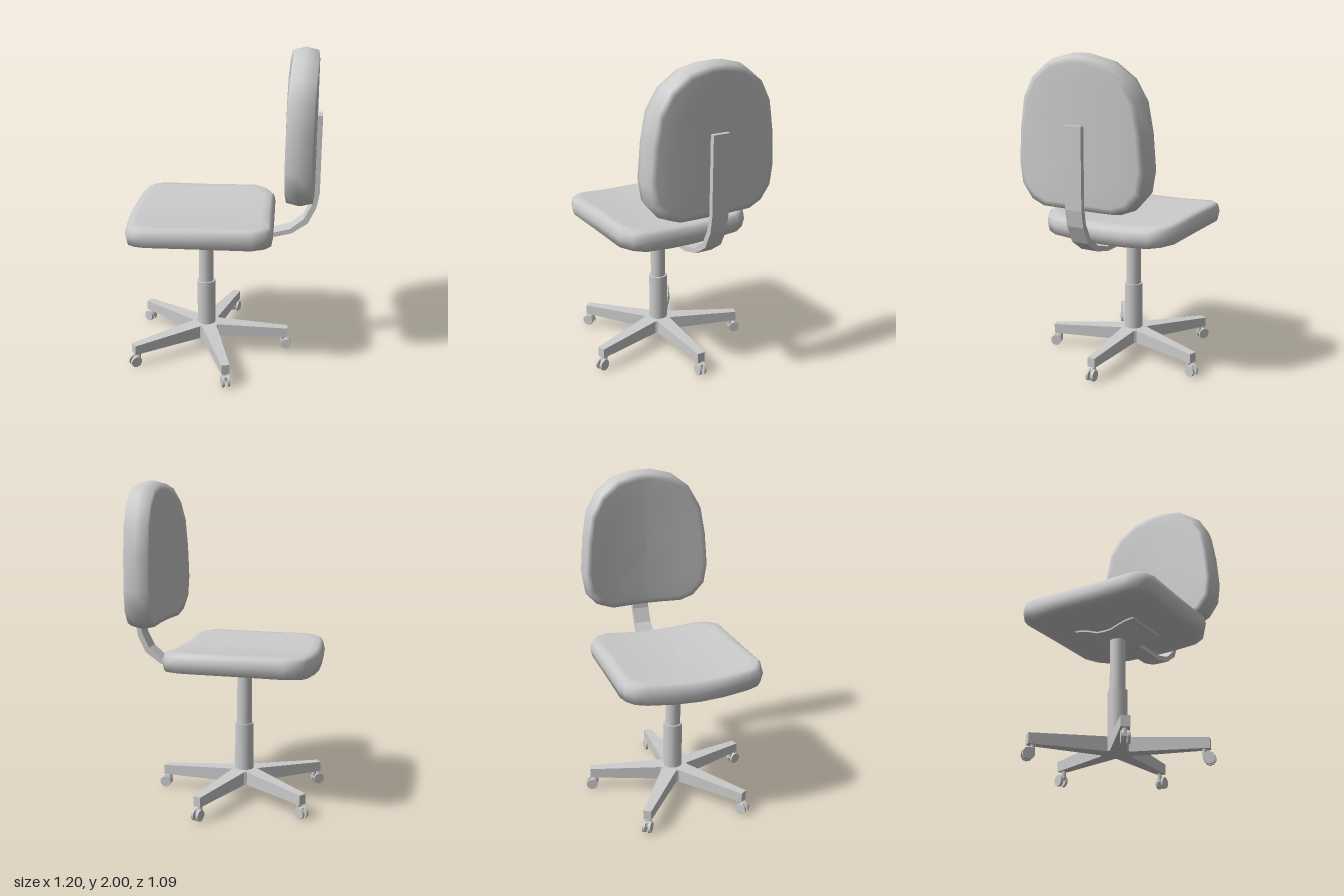
import * as THREE from 'three';

const material = new THREE.MeshStandardMaterial({ color: 0xcccccc });
const thin = new THREE.MeshStandardMaterial({ color: 0xcccccc, side: THREE.DoubleSide });
const COLUMN_X = -0.115;

function add(parent, name, geometry, mat = material) {
  const mesh = new THREE.Mesh(geometry, mat);
  mesh.name = name;
  parent.add(mesh);
  return mesh;
}

// Complete a half outline by mirroring it; the first and last points lie on the mirror line
function mirrored(half, flip) {
  return [...half, ...half.slice(1, -1).reverse().map(flip)];
}

// Padded cushion: the outline swept through rings of [inset, scale, height], then bent by place()
function cushion(outline, centre, rings, place) {
  const n = outline.length, positions = [], index = [];
  rings.forEach(([inset, scale, h], i) => {
    outline.forEach(([u, v], j) => {
      const du = u - centre[0], dv = v - centre[1];
      const k = scale * (1 - inset / Math.hypot(du, dv));
      positions.push(...place(centre[0] + du * k, centre[1] + dv * k, h));
      if (i === 0) return;
      const a = (i - 1) * n + j, b = (i - 1) * n + (j + 1) % n;
      if (i > 1) index.push(a, b, b + n);
      if (i < rings.length - 1) index.push(a, b + n, a + n);
      else index.push(a, b, a + n);
    });
  });
  const g = new THREE.BufferGeometry();
  g.setAttribute('position', new THREE.Float32BufferAttribute(positions, 3));
  g.setIndex(index);
  g.computeVertexNormals();
  return g;
}

// Side profile extruded symmetrically about z = 0
function slab(points, width) {
  const shape = new THREE.Shape(points.map(p => new THREE.Vector2(...p)));
  return new THREE.ExtrudeGeometry(shape, { depth: width, bevelEnabled: false })
    .translate(0, 0, -width / 2);
}

// Tapered leg along +x
function legGeometry() {
  const g = new THREE.BoxGeometry(1, 1, 1), p = g.attributes.position;
  for (let i = 0; i < p.count; i++) {
    const tip = p.getX(i) > 0;
    p.setXYZ(i, tip ? 0.54 : 0.05,
      p.getY(i) > 0 ? (tip ? 0.152 : 0.178) : 0.09,
      p.getZ(i) * (tip ? 0.05 : 0.1));
  }
  g.computeVertexNormals();
  return g;
}

function createCaster() {
  const caster = new THREE.Group();
  caster.name = 'caster';
  add(caster, 'casterStem', new THREE.CylinderGeometry(0.014, 0.014, 0.06, 8)).position.set(0.505, 0.075, 0);
  add(caster, 'casterHousing', new THREE.BoxGeometry(0.045, 0.03, 0.018)).position.set(0.518, 0.052, 0);
  for (const side of [-1, 1]) {
    const wheel = add(caster, 'casterWheel', new THREE.CylinderGeometry(0.036, 0.036, 0.016, 10));
    wheel.rotation.x = Math.PI / 2;
    wheel.position.set(0.532, 0.036, side * 0.017);
  }
  return caster;
}

export function createModel() {
  const chair = new THREE.Group();
  chair.name = 'officeChair';

  // Seat, dished upward at both sides
  const seatOutline = mirrored([
    [-0.6, 0], [-0.592, 0.16], [-0.575, 0.32], [-0.555, 0.39], [-0.51, 0.43], [-0.45, 0.45],
    [-0.14, 0.45], [0.2, 0.45], [0.28, 0.4], [0.32, 0.33], [0.32, 0.16], [0.32, 0]
  ], ([x, z]) => [x, -z]);
  add(chair, 'seat', cushion(seatOutline, [-0.14, 0], [
    [0, 0, 0.845], [0.03, 0.35, 0.845], [0.03, 0.7, 0.845], [0.03, 0.95, 0.845], [0.012, 1, 0.85],
    [0, 1, 0.905], [0.012, 1, 0.95], [0.035, 1, 0.97],
    [0.035, 0.9, 0.972], [0.035, 0.65, 0.972], [0.035, 0.35, 0.972], [0, 0, 0.972]
  ], (x, z, h) => [x, h + 0.033 * (z / 0.45) ** 2, z]));

  // Backrest, wrapped forward at both sides
  const backOutline = mirrored([
    [0, 2], [0.06, 1.997], [0.19, 1.965], [0.31, 1.875], [0.382, 1.75], [0.415, 1.57], [0.43, 1.35],
    [0.408, 1.22], [0.335, 1.135], [0.245, 1.1], [0.1, 1.1], [0, 1.1]
  ], ([z, y]) => [-z, y]);
  add(chair, 'backrest', cushion(backOutline, [0, 1.53], [
    [0, 0, 0.408], [0.022, 0.35, 0.408], [0.022, 0.7, 0.408], [0.022, 0.93, 0.408], [0.018, 1, 0.412],
    [0, 1, 0.485], [0.018, 1, 0.562],
    [0.022, 0.93, 0.567], [0.022, 0.7, 0.567], [0.022, 0.35, 0.567], [0, 0, 0.567]
  ], (z, y, h) => [h - 0.038 * (z / 0.43) ** 2, y, z]));

  // Bent flat bar joining the seat and the backrest
  add(chair, 'backSupport', slab([
    [-0.1, 0.815], [0.31, 0.815], [0.43, 0.845], [0.53, 0.915], [0.58, 1.02], [0.597, 1.12], [0.597, 1.605],
    [0.567, 1.605], [0.567, 1.13], [0.55, 1.035], [0.505, 0.945], [0.42, 0.875], [0.31, 0.845], [-0.1, 0.845]
  ], 0.11));

  // Winged mounting plate under the seat
  const under = [[0, 0.8], [0.05, 0.803], [0.1, 0.822], [0.15, 0.837], [0.205, 0.843]];
  const lower = [...under.slice(1).reverse().map(([z, y]) => [-z, y]), ...under];
  const upper = lower.map(([z, y]) => [z, y + 0.01]).reverse();
  const plate = add(chair, 'mountingPlate', slab([...lower, ...upper], 0.315), thin);
  plate.rotation.y = Math.PI / 2;
  plate.position.x = -0.12;

  // Column and five-legged base
  const base = new THREE.Group();
  base.name = 'base';
  base.position.x = COLUMN_X;
  chair.add(base);
  add(base, 'upperColumn', new THREE.CylinderGeometry(0.048, 0.048, 0.36, 16)).position.y = 0.63;
  add(base, 'lowerColumn', new THREE.CylinderGeometry(0.059, 0.059, 0.34, 16)).position.y = 0.31;
  add(base, 'hub', new THREE.CylinderGeometry(0.095, 0.095, 0.085, 20)).position.y = 0.1325;
  for (let i = 0; i < 5; i++) {
    const arm = new THREE.Group();
    arm.name = 'baseArm';
    arm.rotation.y = i * Math.PI * 2 / 5;
    add(arm, 'leg', legGeometry());
    arm.add(createCaster());
    base.add(arm);
  }
  return chair;
}
